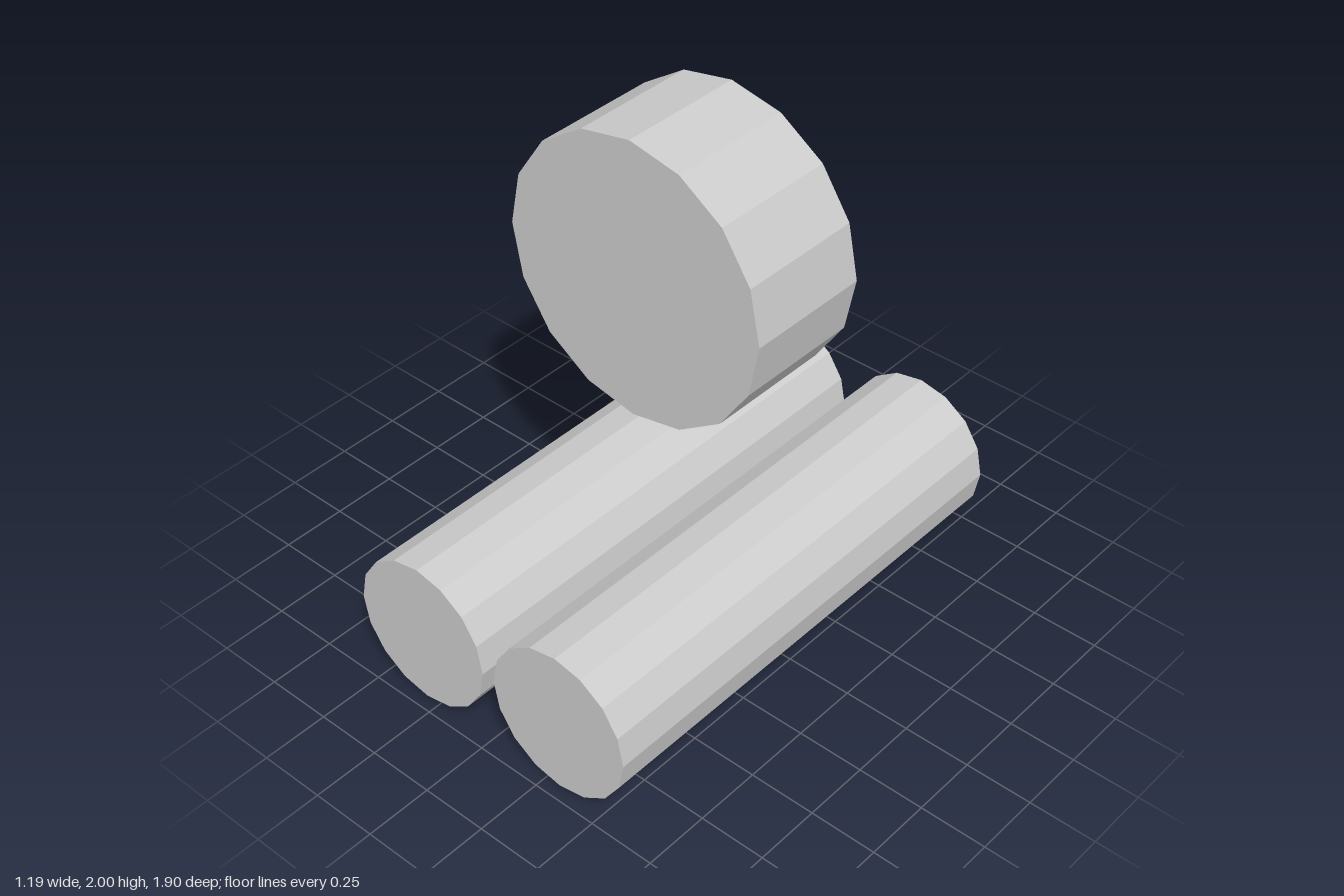
import * as THREE from 'three';

export function createModel() {
  const model = new THREE.Group();
  const material = new THREE.MeshStandardMaterial({ color: 0xcccccc, flatShading: true });

  // Sixteen-sided cylinder lying along z
  function addRoller(name, radius, length, x, y) {
    const geometry = new THREE.CylinderGeometry(radius, radius, length, 16);
    geometry.rotateX(Math.PI / 2);
    const mesh = new THREE.Mesh(geometry, material);
    mesh.name = name;
    mesh.position.set(x, y, 0);
    model.add(mesh);
  }

  // Pair of long rollers on the ground
  const rollerRadius = 0.285;
  addRoller('leftRoller', rollerRadius, 1.9, 0.31, rollerRadius);
  addRoller('rightRoller', rollerRadius, 1.9, -0.31, rollerRadius);

  // Short, wide wheel above them
  const wheelRadius = 0.522;
  addRoller('upperWheel', wheelRadius, 0.475, 0, 2 - wheelRadius);

  return model;
}
